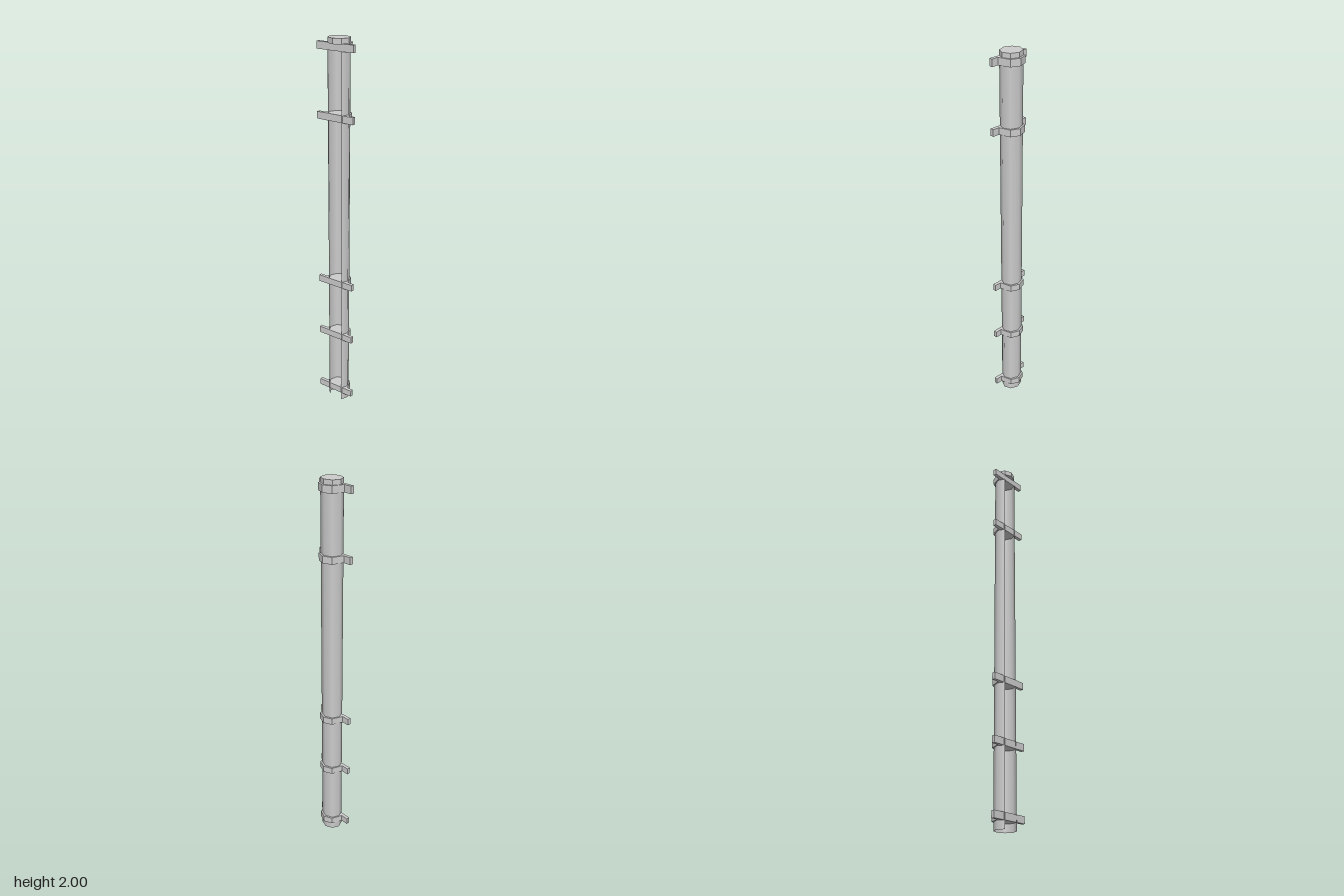
import * as THREE from 'three';

export function createModel() {
  const group = new THREE.Group();
  const smooth = new THREE.MeshStandardMaterial({ color: 0xcccccc, side: THREE.DoubleSide });
  const flat = new THREE.MeshStandardMaterial({ color: 0xcccccc, flatShading: true });
  const centreX = -0.006, centreZ = 0.003;
  const radiusX = 0.052, radiusZ = 0.0565;

  const add = (name, geometry, material, x, y, z) => {
    const mesh = new THREE.Mesh(geometry, material);
    mesh.name = name;
    mesh.position.set(x, y, z);
    group.add(mesh);
  };

  // Eight-sided pipe shell, two sides left open towards -x
  const shellHeight = 1.94;
  const shell = new THREE.CylinderGeometry(1, 1, shellHeight, 6, 1, true, -Math.PI / 4, Math.PI * 1.5);
  shell.scale(radiusX, 1, radiusZ);
  add('pipeShell', shell, smooth, centreX, shellHeight / 2, centreZ);

  // Closed octagonal cap at the top
  const capHeight = 0.027;
  const cap = new THREE.CylinderGeometry(1, 1, capHeight, 8);
  cap.scale(radiusX, 1, radiusZ);
  add('topCap', cap, flat, centreX, 2 - capHeight / 2, centreZ);

  // Clamps around the pipe: half octagon with a flat tab on each side
  const half = [[0.057, 0], [0.038, 0.046], [-0.02, 0.066], [-0.02, 0.105], [-0.038, 0.105]];
  const mirrored = half.slice(1).reverse().map(([x, z]) => [x, -z]);
  const outline = new THREE.Shape(
    [...half, ...mirrored].map(([x, z]) => new THREE.Vector2(x, Math.abs(z) > 0.1 ? z : z + centreZ))
  );
  const clampHeight = 0.036;
  const clamp = new THREE.ExtrudeGeometry(outline, { depth: clampHeight, bevelEnabled: false });
  clamp.rotateX(Math.PI / 2);
  for (const y of [0.06, 0.41, 0.73, 1.623, 1.958]) {
    add('clamp', clamp, flat, 0, y + clampHeight / 2, 0);
  }

  return group;
}
